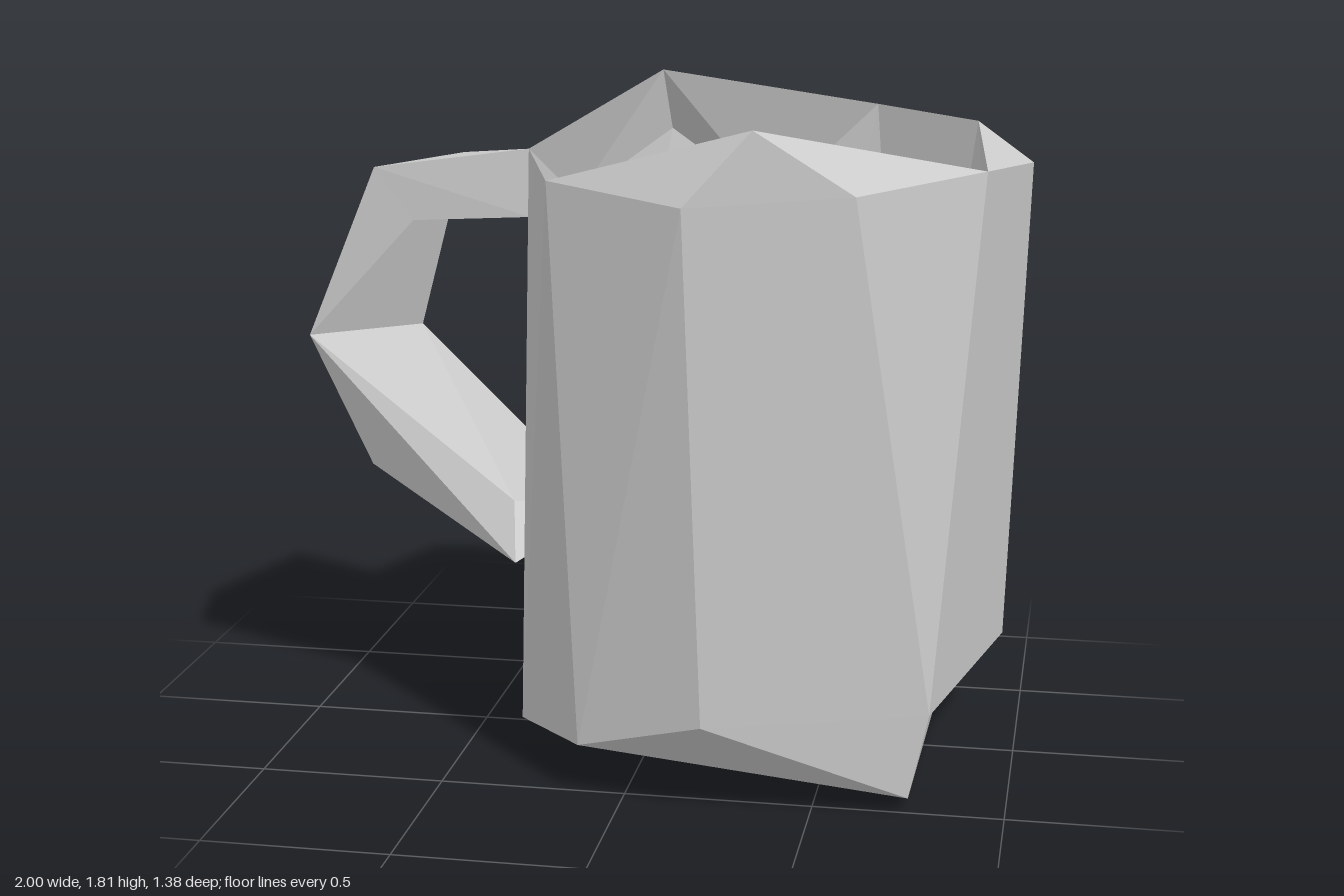
import * as THREE from 'three';

const material = new THREE.MeshStandardMaterial({ color: 0xcccccc, flatShading: true, side: THREE.DoubleSide });

// Turn a list of triangles (three points each) into a faceted mesh
function facetMesh(name, triangles) {
  const solid = triangles.filter(([a, b, c]) => a !== b && b !== c && a !== c);
  const geometry = new THREE.BufferGeometry();
  geometry.setAttribute('position', new THREE.Float32BufferAttribute(solid.flat(2), 3));
  geometry.computeVertexNormals();
  const mesh = new THREE.Mesh(geometry, material);
  mesh.name = name;
  return mesh;
}

// Join two rings with different point counts, walking round by angle
const AXIS_X = 0.3;
const angle = (p) => Math.atan2(p[2], p[0] - AXIS_X);
function zipRings(upper, lower) {
  const triangles = [];
  const at = (ring, i) => ring[i % ring.length];
  const turn = (ring, i) => (i < ring.length ? angle(ring[i]) : angle(ring[0]) + 2 * Math.PI);
  let i = 0, j = 0;
  while (i < upper.length || j < lower.length) {
    const u = at(upper, i), v = at(lower, j);
    const moveUpper = j >= lower.length || (i < upper.length && turn(upper, i + 1) <= turn(lower, j + 1));
    if (moveUpper) triangles.push([u, at(upper, ++i), v]);
    else triangles.push([u, at(lower, ++j), v]);
  }
  return triangles;
}

// Skin a series of four-cornered sections
function loftSections(sections) {
  const triangles = [];
  for (let s = 0; s < sections.length - 1; s++) {
    for (let k = 0; k < 4; k++) {
      const n = (k + 1) % 4, a = sections[s], b = sections[s + 1];
      triangles.push([a[k], a[n], b[n]], [a[k], b[n], b[k]]);
    }
  }
  return triangles;
}

export function createModel() {
  const group = new THREE.Group();
  group.name = 'mug';

  // Corners shared by neighbouring rings and the handle
  const rimSide = [-0.38, 1.63, -0.1], rimFrontSide = [-0.2, 1.63, 0.49];
  const rimFar = [0.9, 1.66, 0.34], rimFarBack = [0.83, 1.69, -0.46], rimBack = [0.53, 1.71, -0.65];
  const upperJoin = [-0.3, 1.46, -0.36], lowerJoin = [-0.24, 0.52, -0.45];
  const footSide = [-0.38, 0.1, -0.13], footFront = [-0.12, 0.14, 0.53], footCorner = [-0.33, 0.11, 0.27];

  // Body rings, all starting at the handle side
  const rim = [rimSide, [-0.08, 1.81, -0.53], rimBack, rimFarBack, rimFar, [0.35, 1.79, 0.66], rimFrontSide];
  const shoulder = [
    rimSide, upperJoin, [-0.07, 1.63, -0.63], [0.22, 1.41, -0.69], rimBack, rimFarBack,
    [1, 1.63, -0.07], rimFar, [0.6, 1.63, 0.63], [0.18, 1.6, 0.69], rimFrontSide,
  ];
  const lowerShoulder = [
    footSide, lowerJoin, [0.23, 0.15, -0.69], [0.64, 0.29, -0.63], [0.95, 0.25, -0.28],
    [0.8, 0.27, 0.5], [0.23, 0.26, 0.67], footFront, footCorner,
  ];
  const foot = [footSide, [-0.07, 0.05, -0.48], [0.76, 0, -0.35], [0.75, 0.04, 0.5], footFront, footCorner];

  group.add(facetMesh('rim', zipRings(rim, shoulder)));
  group.add(facetMesh('wall', zipRings(shoulder, lowerShoulder)));
  group.add(facetMesh('foot', zipRings(lowerShoulder, foot)));

  // Handle sections: outer front, outer back, inner back, inner front
  const topBack = [-0.67, 1.56, -0.51];
  const midFront = [-1, 1.1, -0.02], midBack = [-0.98, 1.09, -0.49], midInner = [-0.81, 1.04, -0.52];
  group.add(facetMesh('handle', loftSections([
    [rimSide, upperJoin, upperJoin, [-0.38, 1.44, -0.1]],
    [[-0.8, 1.58, -0.02], topBack, topBack, [-0.7, 1.43, -0.05]],
    [midFront, midBack, midInner, midFront],
    [[-0.84, 0.72, -0.07], midBack, midInner, midFront],
    [[-0.4, 0.48, 0.04], lowerJoin, lowerJoin, [-0.41, 0.65, 0]],
  ])));

  return group;
}
